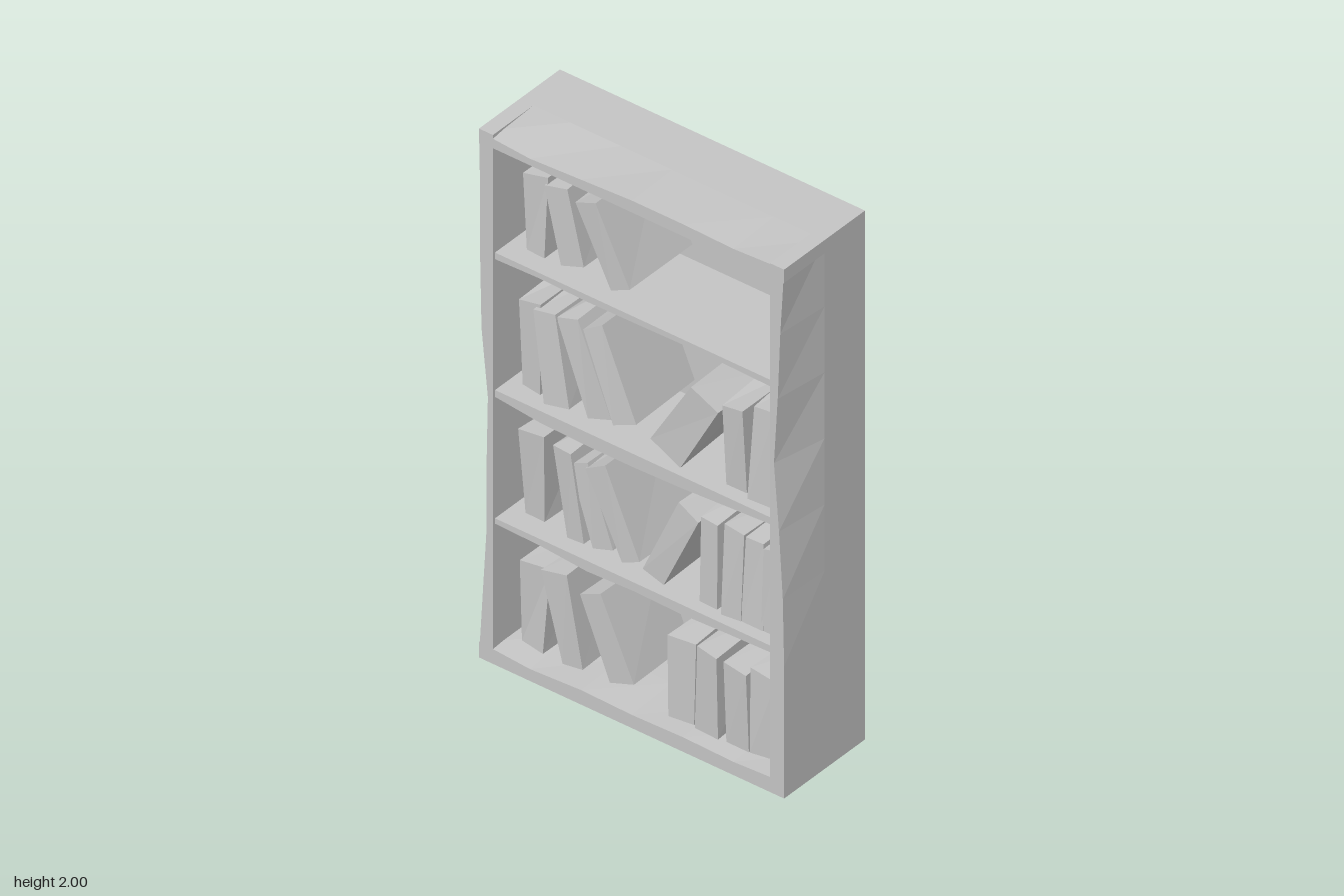
import * as THREE from 'three';

const W = 0.6, H = 2, FRONT = 0.2, BACK = -0.2, PANEL = -0.16;

// Small seeded generator for hand-hewn irregularity
function seeded(seed) {
  return () => {
    seed = (seed * 16807) % 2147483647;
    return seed / 2147483647 - 0.5;
  };
}

export function createModel() {
  const grey = new THREE.MeshStandardMaterial({ color: 0xc4c4c4, flatShading: true });
  grey.name = 'plain grey';
  const model = new THREE.Group();
  model.name = 'bookcase';

  function add(parent, name, geometry) {
    const mesh = new THREE.Mesh(geometry, grey);
    mesh.name = name;
    parent.add(mesh);
    return mesh;
  }

  // Plank whose chosen front edge is chipped: each pull moves one station of that edge inward.
  // along / across are the axes of its length and thickness; side (+1/-1) picks the chipped face.
  function plank(name, min, max, along, across, side, pulls) {
    const size = new THREE.Vector3().subVectors(max, min);
    const n = pulls.length - 1;
    const g = new THREE.BoxGeometry(size.x, size.y, size.z,
      along === 'x' ? n : 1, along === 'y' ? n : 1, 2);
    const c = new THREE.Vector3().addVectors(min, max).multiplyScalar(0.5);
    g.translate(c.x, c.y, c.z);
    const p = g.attributes.position, v = new THREE.Vector3();
    for (let i = 0; i < p.count; i++) {
      v.fromBufferAttribute(p, i);
      if (v.z > max.z - 1e-4 && (v[across] - c[across]) * side > 0) {
        const k = Math.round((v[along] - min[along]) / size[along] * n);
        v[across] -= side * pulls[k];
        p.setXYZ(i, v.x, v.y, v.z);
      }
    }
    add(model, name, g);
  }
  const V = (x, y, z) => new THREE.Vector3(x, y, z);

  // Carcass: sides, top, bottom and back
  plank('rightSide', V(-W, 0, BACK), V(-0.545, H, FRONT), 'y', 'x', -1,
    [0, 0.015, 0.03, 0.03, 0.035, 0.01, 0.005, 0.005, 0]);
  plank('leftSide', V(0.545, 0, BACK), V(W, H, FRONT), 'y', 'x', 1,
    [0, 0, 0, 0.005, 0.02, 0.04, 0.025, 0.015, 0]);
  plank('topBoard', V(-W, 1.95, BACK), V(W, H, FRONT), 'x', 'y', 1,
    [0.01, 0.025, 0.015, 0.005, 0.005, 0.01, 0]);
  plank('bottomBoard', V(-W, 0, BACK), V(W, 0.06, FRONT), 'x', 'y', 1,
    [0, 0.015, 0.005, 0.01, 0.005, 0.01, 0]);
  add(model, 'backPanel', new THREE.BoxGeometry(2 * W, H, PANEL - BACK))
    .position.set(0, H / 2, (PANEL + BACK) / 2);

  // Shelves with worn lower front edges
  const shelves = [
    [0.5, 0.545, [0.025, 0.02, 0.005, 0.012, 0.008, 0.015, 0.02]],
    [0.975, 1.03, [0.03, 0.01, 0.005, 0.005, 0.01, 0.02, 0.03]],
    [1.505, 1.55, [0.02, 0.025, 0.02, 0.022, 0.025, 0.025, 0.02]],
  ];
  shelves.forEach(([y0, y1, pulls], i) =>
    plank('shelf' + (i + 1), V(-0.55, y0, PANEL), V(0.55, y1, 0.19), 'x', 'y', -1, pulls));

  // Books by row: bottom x, top x, bottom y, top y, thickness
  const rows = [
    [[-0.45, -0.44, 0.065, 0.385, 0.1], [-0.29, -0.35, 0.065, 0.39, 0.085],
      [-0.1, -0.21, 0.08, 0.37, 0.095], [0.15, 0.15, 0.06, 0.37, 0.09],
      [0.25, 0.25, 0.06, 0.37, 0.08], [0.365, 0.365, 0.06, 0.365, 0.09],
      [0.475, 0.475, 0.06, 0.37, 0.1]],
    [[-0.45, -0.45, 0.55, 0.87, 0.09], [-0.27, -0.32, 0.555, 0.88, 0.085],
      [-0.17, -0.26, 0.56, 0.85, 0.08], [-0.05, -0.19, 0.57, 0.87, 0.085],
      [0.045, 0.18, 0.57, 0.87, 0.085], [0.265, 0.265, 0.55, 0.87, 0.08],
      [0.355, 0.355, 0.55, 0.87, 0.085], [0.435, 0.435, 0.55, 0.87, 0.07],
      [0.505, 0.505, 0.55, 0.86, 0.065]],
    [[-0.455, -0.45, 1.04, 1.37, 0.085], [-0.33, -0.38, 1.04, 1.38, 0.08],
      [-0.18, -0.31, 1.05, 1.375, 0.09], [-0.07, -0.2, 1.085, 1.39, 0.08],
      [0.1, 0.25, 1.06, 1.335, 0.12], [0.365, 0.365, 1.035, 1.35, 0.085],
      [0.48, 0.475, 1.035, 1.38, 0.1]],
    [[-0.42, -0.42, 1.575, 1.87, 0.085], [-0.29, -0.35, 1.58, 1.86, 0.08],
      [-0.09, -0.225, 1.585, 1.85, 0.09]],
  ];
  const rand = seeded(4217);
  rows.forEach((row, r) => {
    const group = new THREE.Group();
    group.name = 'bookRow' + (r + 1);
    row.forEach(([xb, xt, yb, yt, w], b) => {
      const h = Math.hypot(xt - xb, yt - yb), front = 0.14 + rand() * 0.03;
      const depth = front - PANEL;
      const g = new THREE.BoxGeometry(w, h, depth);
      g.translate(0, h / 2, 0);
      // Nudge each front corner so no two books are quite square
      const nudges = {}, p = g.attributes.position;
      for (let i = 0; i < p.count; i++) {
        const x = p.getX(i), y = p.getY(i), z = p.getZ(i);
        const key = [x > 0, y > h / 2, z > 0].join();
        nudges[key] ??= [rand() * 0.02, y > h / 2 ? rand() * 0.025 : 0, z > 0 ? rand() * 0.025 : 0];
        const [dx, dy, dz] = nudges[key];
        p.setXYZ(i, x + dx, y + dy, z + dz);
      }
      const book = add(group, 'book' + (b + 1), g);
      book.position.set(xb, yb, (front + PANEL) / 2);
      book.rotation.z = Math.atan2(xb - xt, yt - yb);
    });
    model.add(group);
  });
  return model;
}
